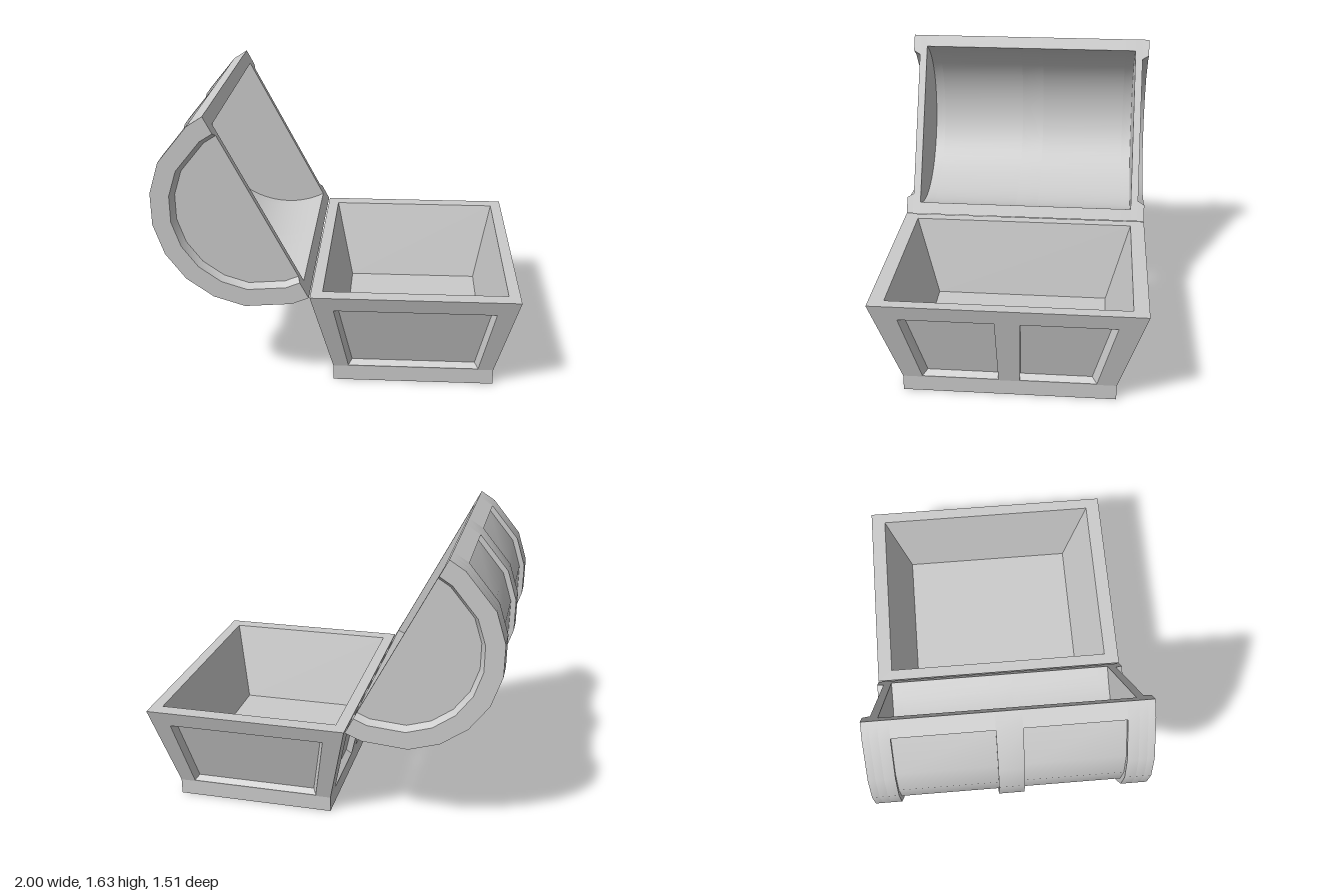
import * as THREE from 'three';
import { toCreasedNormals } from 'three/addons/utils/BufferGeometryUtils.js';

const material = new THREE.MeshStandardMaterial({ color: 0xcccccc });

function addMesh(group, name, geometry) {
  const mesh = new THREE.Mesh(geometry, material);
  mesh.name = name;
  group.add(mesh);
  return mesh;
}

// Flat-faced geometry from quads, each four corners counter-clockwise
function quadGeometry(quads) {
  const pos = [];
  for (const [a, b, c, d] of quads) pos.push(...a, ...b, ...c, ...a, ...c, ...d);
  const g = new THREE.BufferGeometry();
  g.setAttribute('position', new THREE.Float32BufferAttribute(pos, 3));
  g.computeVertexNormals();
  return g;
}

// Skin between rectangular rings [halfX, halfZ, y]
function rectLoft(rings) {
  const corners = ([x, z, y]) => [[-x, y, z], [x, y, z], [x, y, -z], [-x, y, -z]];
  const quads = [];
  for (let i = 0; i + 1 < rings.length; i++) {
    const a = corners(rings[i]), b = corners(rings[i + 1]);
    for (let k = 0; k < 4; k++) {
      const n = (k + 1) % 4;
      quads.push([a[k], a[n], b[n], b[k]]);
    }
  }
  return quads;
}

const FOOT = { x: 0.4625, z: 0.6, y: 0.09 };
const RIM = { x: 0.58, z: 0.755, y: 0.605 };

// Sloping wall facing +z with sunken panels; each panel has outline and floor corners [u, y]
function wallParts(width, depth, panels) {
  const point = ([u, y], sink = 0) => {
    const t = (y - FOOT.y) / (RIM.y - FOOT.y);
    return [u, y, FOOT[depth] + (RIM[depth] - FOOT[depth]) * t - sink];
  };
  const path = (pts) => pts.map(([u, y]) => new THREE.Vector2(u, y));
  const frame = new THREE.Shape(path([
    [-FOOT[width], FOOT.y], [FOOT[width], FOOT.y], [RIM[width], RIM.y], [-RIM[width], RIM.y],
  ]));
  const recess = [];
  for (const { outline, floor } of panels) {
    frame.holes.push(new THREE.Path(path(outline)));
    const o = outline.map((p) => point(p)), f = floor.map((p) => point(p, 0.04));
    recess.push(f);
    for (let i = 0; i < 4; i++) {
      const n = (i + 1) % 4;
      recess.push([o[i], o[n], f[n], f[i]]);
    }
  }
  const face = new THREE.ShapeGeometry(frame);
  const p = face.attributes.position;
  for (let i = 0; i < p.count; i++) p.setXYZ(i, ...point([p.getX(i), p.getY(i)]));
  face.computeVertexNormals();
  return { face, recess: quadGeometry(recess) };
}

function createBase() {
  const base = new THREE.Group();
  base.name = 'chestBase';
  base.position.x = 0.42;

  // Plinth with its underside
  const { x, z, y } = FOOT;
  addMesh(base, 'plinth', quadGeometry([
    ...rectLoft([[x, z, 0], [x, z, y]]),
    [[-x, 0, -z], [x, 0, -z], [x, 0, z], [-x, 0, z]],
  ]));

  // Rim, inner walls and floor
  addMesh(base, 'rimAndInterior', quadGeometry([
    ...rectLoft([[RIM.x, RIM.z, RIM.y], [0.515, 0.67, RIM.y], [0.41, 0.53, 0.14]]),
    [[-0.41, 0.14, 0.53], [0.41, 0.14, 0.53], [0.41, 0.14, -0.53], [-0.41, 0.14, -0.53]],
  ]));

  // One panel on the narrow walls, a mirrored pair on the wide walls
  const single = [{
    outline: [[-0.375, 0.097], [0.375, 0.097], [0.452, 0.515], [-0.452, 0.515]],
    floor: [[-0.355, 0.122], [0.355, 0.122], [0.43, 0.515], [-0.43, 0.515]],
  }];
  const right = {
    outline: [[0.06, 0.097], [0.49, 0.097], [0.595, 0.515], [0.07, 0.515]],
    floor: [[0.06, 0.122], [0.463, 0.122], [0.565, 0.515], [0.07, 0.515]],
  };
  const mirror = (pts) => pts.map(([u, v]) => [-u, v]).reverse();
  const pair = [right, { outline: mirror(right.outline), floor: mirror(right.floor) }];

  ['frontWall', 'leftWall', 'backWall', 'rightWall'].forEach((name, k) => {
    const wall = new THREE.Group();
    wall.name = name;
    wall.rotation.y = k * Math.PI / 2;
    const parts = k % 2 ? wallParts('z', 'x', pair) : wallParts('x', 'z', single);
    addMesh(wall, 'wallFrame', parts.face);
    addMesh(wall, 'sunkenPanels', parts.recess);
    base.add(wall);
  });
  return base;
}

// Points of a half circle bulging toward +x, at angles in degrees from -y
const FACETS = [0, 10, 36, 54, 72, 90, 108, 126, 144, 170, 180];
const arc = (r, angles = FACETS) => angles.map((a) => {
  const t = THREE.MathUtils.degToRad(a);
  return new THREE.Vector2(r * Math.sin(t), -r * Math.cos(t));
});

function slab(points, z0, z1) {
  const g = new THREE.ExtrudeGeometry(new THREE.Shape(points), { depth: z1 - z0, bevelEnabled: false });
  return g.translate(0, 0, z0);
}
const smooth = (g) => toCreasedNormals(g, 0.5);

function createLid() {
  const lid = new THREE.Group();
  lid.name = 'openLid';
  lid.position.set(-0.4325, 1.1175, 0);
  lid.rotation.z = Math.PI + 0.481;

  const R = 0.578;
  const outer = arc(R);
  const hollow = arc(0.505, Array.from({ length: 33 }, (_, i) => i * 180 / 32)).reverse();
  const band = [...outer, ...hollow];
  // Sunken stretch keeps full thickness beside the opening
  const sunk = arc(R - 0.03, FACETS.slice(1, -1));
  const panel = [...outer.slice(0, 2), ...sunk, ...outer.slice(-2), ...hollow];

  addMesh(lid, 'middleBand', smooth(slab(band, -0.07, 0.07)));
  for (const s of [-1, 1]) {
    const span = (a, b) => (s > 0 ? [a, b] : [-b, -a]);
    addMesh(lid, 'barrelPanel', smooth(slab(panel, ...span(0.07, 0.61))));
    addMesh(lid, 'endBand', smooth(slab(band, ...span(0.61, 0.67))));
    addMesh(lid, 'endBoard', smooth(slab(outer, ...span(0.67, 0.715))));

    // Raised border of the end, its inner edge sloping toward the board
    const border = slab([...outer, ...arc(0.475).reverse()], ...span(0.715, 0.755));
    const p = border.attributes.position;
    for (let i = 0; i < p.count; i++) {
      if (Math.hypot(p.getX(i), p.getY(i)) < 0.5 && Math.abs(p.getZ(i)) < 0.73) {
        p.setXY(i, p.getX(i) * 0.95, p.getY(i) * 0.95);
      }
    }
    border.computeVertexNormals();
    addMesh(lid, 'endBorder', smooth(border));
  }
  return lid;
}

export function createModel() {
  const chest = new THREE.Group();
  chest.name = 'openChest';
  chest.add(createBase(), createLid());
  return chest;
}
